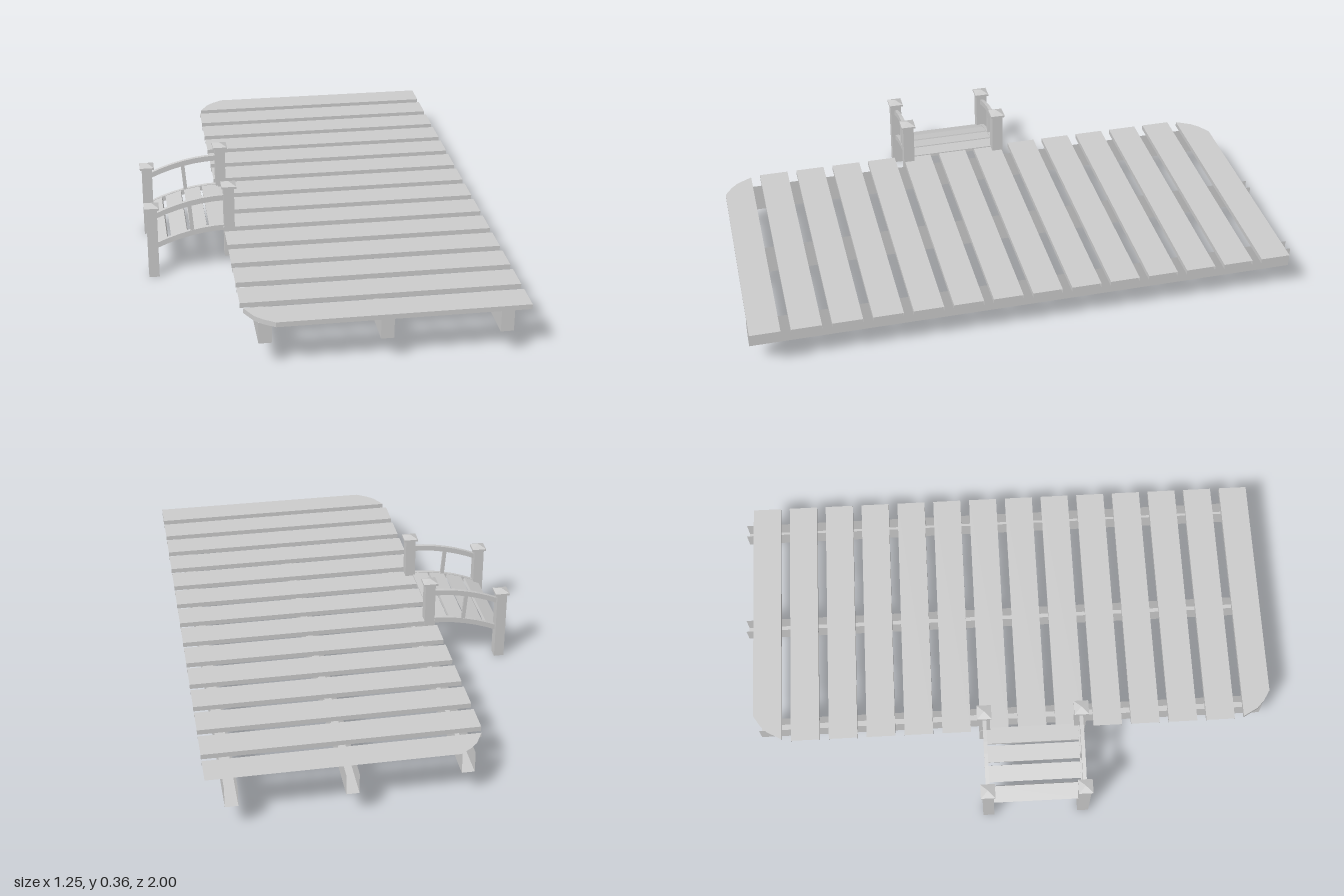
import * as THREE from 'three';

const material = new THREE.MeshStandardMaterial({ color: 0xcccccc, flatShading: true, side: THREE.DoubleSide });

// Box whose listed sides (0..5 = +x,-x,+y,-y,+z,-z) are left open
function openBox(w, h, d, open = []) {
  const geo = new THREE.BoxGeometry(w, h, d);
  const index = Array.from(geo.index.array).filter((_, i) => !open.includes(Math.floor(i / 6)));
  geo.clearGroups();
  geo.setIndex(index);
  return geo;
}

function add(parent, name, geometry, x = 0, y = 0, z = 0) {
  const mesh = new THREE.Mesh(geometry, material);
  mesh.name = name;
  mesh.position.set(x, y, z);
  parent.add(mesh);
  return mesh;
}

const DECK = { left: -0.34, right: 0.625, top: 0.185, thick: 0.018, width: 0.108, first: -0.917, step: 0.1432, count: 14 };

// Outline of an end plank with one cut-back corner; positive y is the outer edge
function endPlankShape() {
  const h = DECK.width / 2;
  return new THREE.Shape([
    [DECK.left + 0.008, -h], [DECK.right, -h], [DECK.right, h],
    [-0.235, h], [-0.275, 0.028], [-0.302, 0.002],
  ].map(([x, y]) => new THREE.Vector2(x, y)));
}

function createDeck() {
  const deck = new THREE.Group();
  deck.name = 'deck';
  const { left, right, top, thick, width, first, step, count } = DECK;
  const midX = (left + right) / 2;

  for (let i = 1; i < count - 1; i++) {
    add(deck, 'deckPlank', openBox(right - left, thick, width, [0, 1, 3]), midX, top - thick / 2, first + i * step);
  }

  // Front end plank, with full edges
  const front = new THREE.ExtrudeGeometry(endPlankShape(), { depth: thick, bevelEnabled: false });
  front.rotateX(Math.PI / 2);
  add(deck, 'frontEndPlank', front, 0, top, first + (count - 1) * step);

  // Back end plank: top sheet and inner edge
  const back = new THREE.ShapeGeometry(endPlankShape());
  back.rotateX(-Math.PI / 2);
  add(deck, 'backEndPlank', back, 0, top, first);
  add(deck, 'backEndPlankEdge', new THREE.PlaneGeometry(right - left - 0.008, thick),
    midX + 0.004, top - thick / 2, first + width / 2);

  // Long beams under the planks, open at the top and back
  for (const [x, z0, z1] of [[-0.268, -0.95, 0.965], [0.138, -1, 0.99], [0.543, -1, 1]]) {
    add(deck, 'beam', openBox(0.045, 0.078, z1 - z0, [2, 5]), x, 0.129, (z0 + z1) / 2);
  }
  return deck;
}

const BRIDGE = { x0: -0.6, x1: -0.318, z: [-0.095, 0.265] };
const RAIL = { x0: -0.59, x1: -0.33 };
const rise = (x) => {
  const t = (x - RAIL.x0) / (RAIL.x1 - RAIL.x0);
  return 0.118 * t - 0.058 * t * t;
};

// Curved bar in the x-y plane following the rise of the bridge
function archBar(base, thickness, depth) {
  const n = 6, upper = [], lower = [];
  for (let i = 0; i <= n; i++) {
    const x = THREE.MathUtils.lerp(RAIL.x0, RAIL.x1, i / n);
    const y = base + rise(x);
    lower.push(new THREE.Vector2(x, y - thickness / 2));
    upper.unshift(new THREE.Vector2(x, y + thickness / 2));
  }
  const geo = new THREE.ExtrudeGeometry(new THREE.Shape([...lower, ...upper]), { depth, bevelEnabled: false });
  return geo.translate(0, 0, -depth / 2);
}

function createPost(x, z, bottom, top) {
  const post = new THREE.Group();
  post.name = 'post';
  post.position.set(x, 0, z);
  const shaft = top - 0.016 - bottom;
  add(post, 'postShaft', openBox(0.038, shaft, 0.042, [3]), 0, bottom + shaft / 2, 0);
  add(post, 'postCapPlate', new THREE.BoxGeometry(0.054, 0.008, 0.054), 0, top - 0.016, 0);
  const peak = new THREE.ConeGeometry(0.054 / Math.SQRT2, 0.012, 4).rotateY(Math.PI / 4);
  add(post, 'postCapPeak', peak, 0, top - 0.006, 0);
  return post;
}

function createBridge() {
  const bridge = new THREE.Group();
  bridge.name = 'footbridge';
  for (const z of BRIDGE.z) {
    bridge.add(createPost(BRIDGE.x0, z, 0, 0.293), createPost(BRIDGE.x1, z, 0.07, 0.362));
    add(bridge, 'handrail', archBar(0.24, 0.021, 0.014), 0, 0, z);
    add(bridge, 'stringer', archBar(0.12, 0.021, 0.014), 0, 0, z);
    add(bridge, 'baluster', new THREE.BoxGeometry(0.014, 0.112, 0.012), -0.458, 0.227, z).rotation.z = 0.08;
  }
  // Tread planks tilted along the arch
  const depth = BRIDGE.z[1] - BRIDGE.z[0] - 0.012;
  for (const x of [-0.573, -0.501, -0.429, -0.36]) {
    const slope = Math.atan((rise(x + 0.02) - rise(x - 0.02)) / 0.04);
    const tread = add(bridge, 'treadPlank', new THREE.BoxGeometry(0.062, 0.012, depth),
      x, 0.122 + rise(x), (BRIDGE.z[0] + BRIDGE.z[1]) / 2);
    tread.rotation.z = slope;
  }
  return bridge;
}

export function createModel() {
  const model = new THREE.Group();
  model.name = 'dock';
  model.add(createDeck(), createBridge());
  return model;
}
